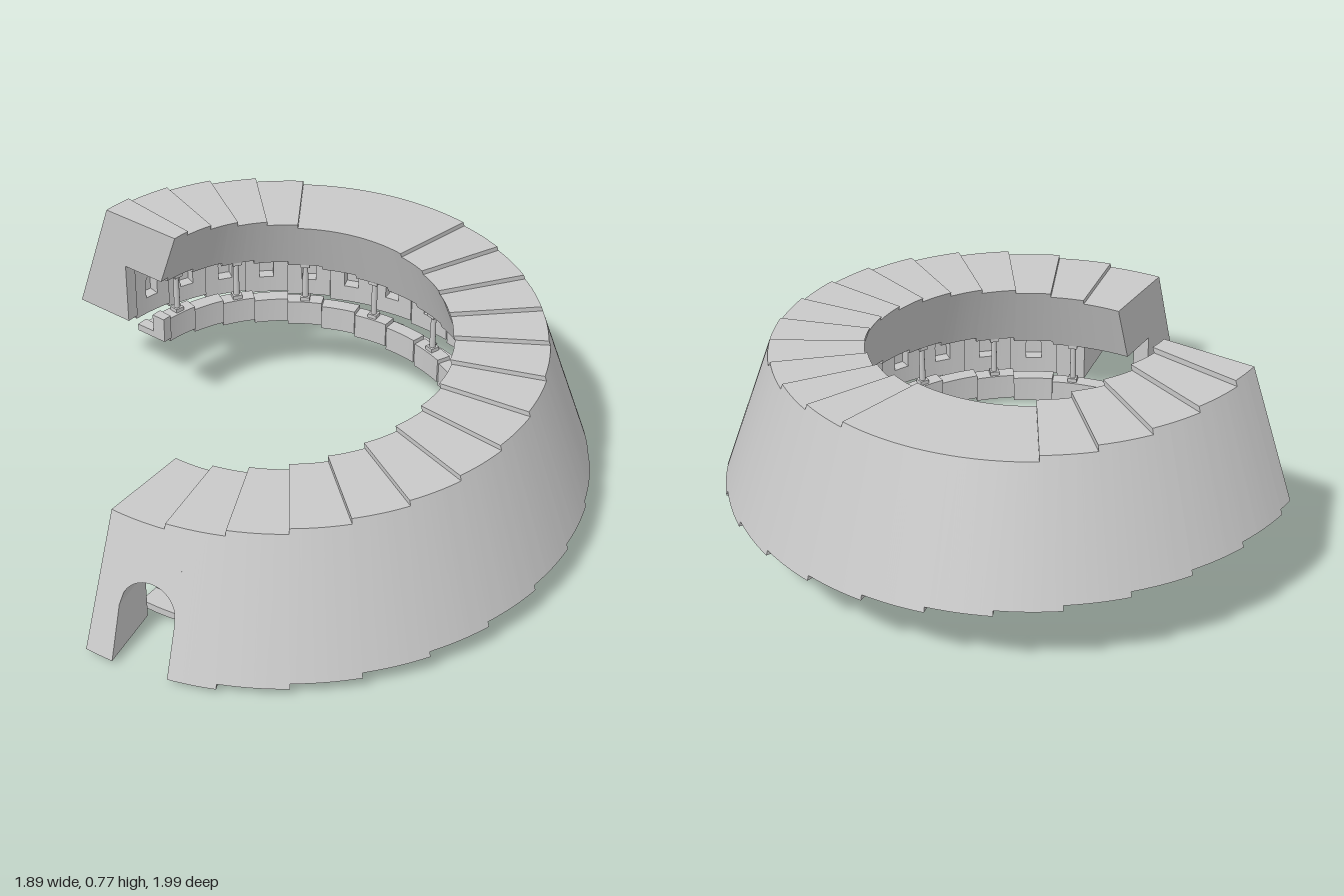
import * as THREE from 'three';
import { mergeGeometries, toCreasedNormals } from 'three/addons/utils/BufferGeometryUtils.js';

const CX = -0.058, CZ = -0.04;            // tower axis
const START = -10.5, END = 257.1, STEP = 12;
const LANDING = [157.5, 201.5];           // level part of the roof
const DOOR_W = 0.0925, SEAM_X = 0.022;
const rad = THREE.MathUtils.degToRad;

// Conical outer wall and the heights of each rising step
const R = y => 1.045 - 0.36 * y;
const stepOf = deg => Math.floor((deg - START) / STEP);
const rise = k => 0.0159 * Math.max(0, k - 1);
const bottomY = k => 0.02 + rise(k);
const ceilingY = k => 0.24 + rise(k);
function topY(deg) {
  if (deg < LANDING[0]) return 0.455 + 0.0161 * stepOf(deg);
  if (deg < LANDING[1]) return 0.68;
  return 0.68 + 0.0174 * (1 + Math.floor((deg - LANDING[1]) / STEP));
}

// Closed solid swept round the axis: profile(t) gives [r, y] points anticlockwise,
// angle(r, t) gives the angle in radians
function sweep(profile, angle, n) {
  const pos = [];
  const point = ([r, y], t) => {
    const a = angle(r, t);
    return [CX + r * Math.sin(a), y, CZ + r * Math.cos(a)];
  };
  const tri = (a, b, c) => pos.push(...a, ...b, ...c);
  for (let i = 0; i < n; i++) {
    const t0 = i / n, t1 = (i + 1) / n;
    const p = profile(t0), q = profile(t1);
    for (let j = 0; j < p.length; j++) {
      const m = (j + 1) % p.length;
      const a0 = point(p[j], t0), a1 = point(q[j], t1);
      const b0 = point(p[m], t0), b1 = point(q[m], t1);
      tri(a0, a1, b1);
      tri(a0, b1, b0);
    }
  }
  for (const t of [0, 1]) {
    const p = profile(t);
    const v = p.map(([x, y]) => new THREE.Vector2(x, y));
    for (const f of THREE.ShapeUtils.triangulateShape(v, [])) {
      const ccw = THREE.ShapeUtils.area(f.map(i => v[i])) > 0;
      const [a, b, c] = f.map(i => point(p[i], t));
      if (ccw === (t === 0)) tri(a, b, c); else tri(a, c, b);
    }
  }
  const g = new THREE.BufferGeometry();
  g.setAttribute('position', new THREE.Float32BufferAttribute(pos, 3));
  return toCreasedNormals(g, 0.5);
}

function arc(profile, d0, d1) {
  const n = Math.max(2, Math.ceil((d1 - d0) / 2));
  return sweep(profile, (r, t) => rad(d0 + (d1 - d0) * t), n);
}

// Wall with the overhanging roof, optionally with a niche cut in the inner face
function wallProfile(yb, yt, yc, w, niche) {
  const p = [[R(yb), yb], [R(yt), yt], [R(yt) - 0.3, yt], [R(yc) - 0.3, yc], [w, yc]];
  if (niche) p.push([w, niche[1]], [w + 0.04, niche[1]], [w + 0.04, niche[0]], [w, niche[0]]);
  p.push([w, yb]);
  return p;
}

function buildWall() {
  const parts = [];
  // Split at every floor step, roof step and niche edge
  const cuts = [END];
  for (let k = 2; START + k * STEP < END; k++) {
    const d = START + k * STEP;
    if (d < END) cuts.push(d);
    if (d + 8 < END) cuts.push(d + 4, d + 8);
  }
  for (let d = LANDING[1]; d < END; d += STEP) cuts.push(d);
  cuts.sort((a, b) => a - b);
  for (let i = 0; i + 1 < cuts.length; i++) {
    const d0 = cuts[i], d1 = cuts[i + 1];
    if (d1 - d0 < 0.01) continue;
    const mid = (d0 + d1) / 2, k = stepOf(mid), yb = bottomY(k);
    const within = mid - START - k * STEP;
    const hasNiche = within > 4 && within < 8 && k < 22;
    const profile = t => {
      const arch = yb + 0.12 + 0.028 * Math.sqrt(Math.max(0, 1 - (2 * t - 1) ** 2));
      return wallProfile(yb, topY(mid), ceilingY(k), R(yb) - 0.22, hasNiche && [yb + 0.062, arch]);
    };
    parts.push(hasNiche ? sweep(profile, (r, t) => rad(d0 + (d1 - d0) * t), 10) : arc(profile, d0, d1));
  }

  // First two steps, pierced by the arched doorway
  const yb = bottomY(0), w = R(yb) - 0.22, yc = ceilingY(0);
  const edge = x => r => Math.asin(x / r);
  const ray = d => () => rad(d);
  const between = (a, b) => (r, t) => a(r) * (1 - t) + b(r) * t;
  const doorTop = x => 0.193 + Math.sqrt(Math.max(0, DOOR_W ** 2 - x * x));
  const spans = [
    [ray(START), edge(-DOOR_W), 0],
    [edge(-DOOR_W), edge(SEAM_X), 0, -DOOR_W, SEAM_X],
    [edge(SEAM_X), edge(DOOR_W), 1, SEAM_X, DOOR_W],
    [edge(DOOR_W), ray(START + 2 * STEP), 1],
  ];
  for (const [a, b, k, x0, x1] of spans) {
    const yt = topY(START + (k + 0.5) * STEP);
    const low = t => (x0 === undefined ? yb : doorTop(x0 + (x1 - x0) * t));
    parts.push(sweep(t => wallProfile(low(t), yt, yc, w), between(a, b), 12));
  }
  return mergeGeometries(parts);
}

// Gallery walkway with its parapet, one piece per step
function buildGallery() {
  const parts = [];
  for (let k = 0; START + k * STEP < END; k++) {
    const y = rise(k), r = R(y);
    const profile = () => [
      [r - 0.39, y], [r - 0.27, y], [r - 0.27, y + 0.025],
      [r - 0.34, y + 0.025], [r - 0.34, y + 0.09], [r - 0.39, y + 0.09],
    ];
    parts.push(arc(profile, START + k * STEP, Math.min(END, START + (k + 1) * STEP)));
  }
  return mergeGeometries(parts);
}

// Slim column with a square base and capital
function buildColumn(height, material) {
  const column = new THREE.Group();
  const add = (geometry, y, name) => {
    const mesh = new THREE.Mesh(geometry, material);
    mesh.position.y = y;
    mesh.name = name;
    column.add(mesh);
  };
  add(new THREE.CylinderGeometry(0.009, 0.011, height, 12), height / 2, 'columnShaft');
  add(new THREE.BoxGeometry(0.032, 0.014, 0.032), 0.007, 'columnBase');
  add(new THREE.BoxGeometry(0.032, 0.014, 0.032), height - 0.007, 'columnCapital');
  return column;
}

export function createModel() {
  const stone = new THREE.MeshStandardMaterial({ color: 0xc8c8c8 });
  stone.name = 'pale stone';
  const model = new THREE.Group();
  model.name = 'spiralTowerLevel';

  const wall = new THREE.Mesh(buildWall(), stone);
  wall.name = 'wallAndRoof';
  const gallery = new THREE.Mesh(buildGallery(), stone);
  gallery.name = 'galleryParapet';
  model.add(wall, gallery);

  for (let k = 1; k < 22; k += 2) {
    const a = rad(START + (k + 0.5) * STEP), y = rise(k) + 0.09;
    const r = R(rise(k)) - 0.366;
    const column = buildColumn(ceilingY(k) - y, stone);
    column.name = 'galleryColumn';
    column.position.set(CX + r * Math.sin(a), y, CZ + r * Math.cos(a));
    column.rotation.y = a;
    model.add(column);
  }
  return model;
}
